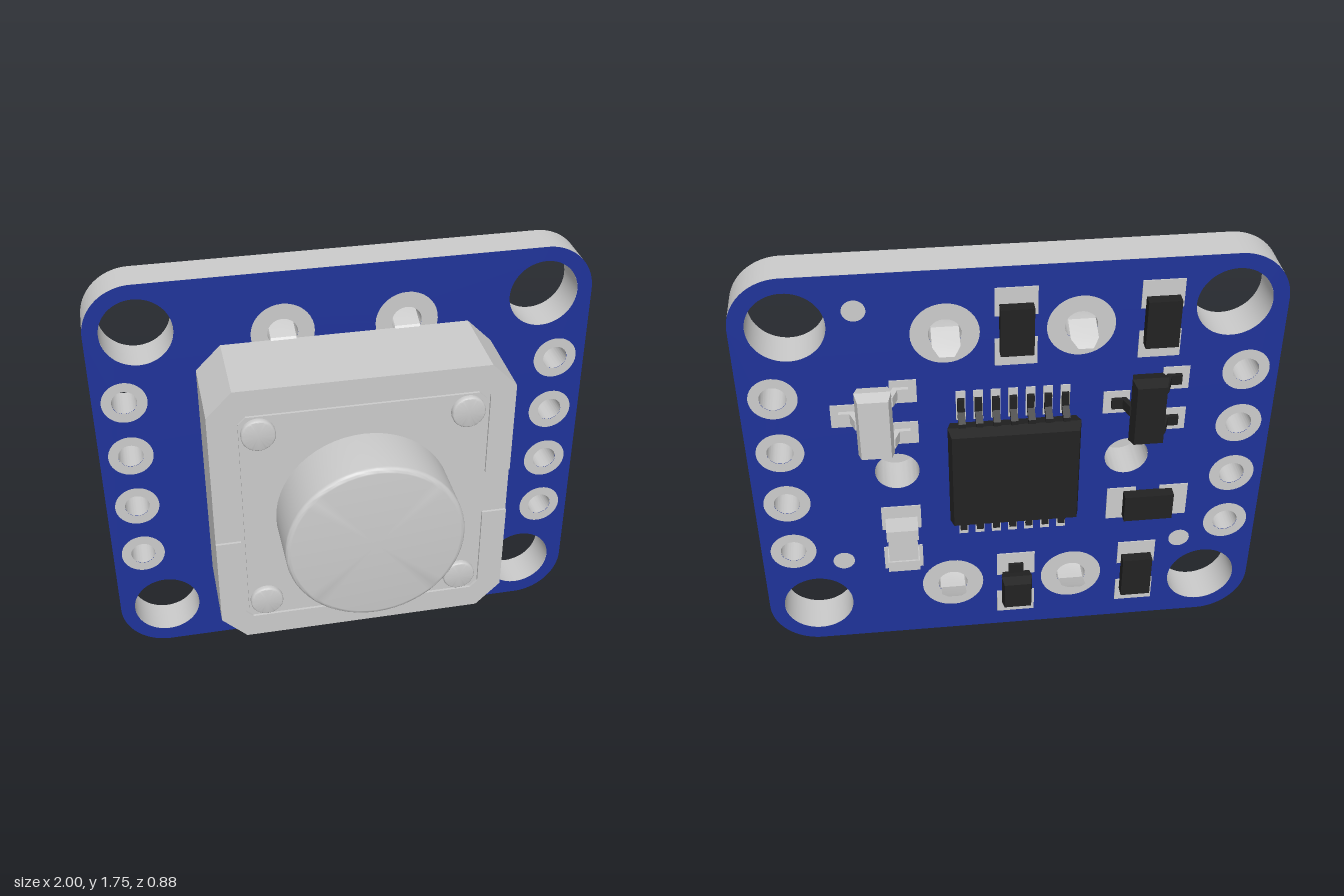
import * as THREE from 'three';
import { toCreasedNormals, mergeVertices } from 'three/addons/utils/BufferGeometryUtils.js';

const mat = (color) => new THREE.MeshStandardMaterial({ color });
const GREY = mat(0xcccccc), BLUE = mat(0x1f3399), DARK = mat(0x222222);
const SHEET = new THREE.MeshStandardMaterial({ color: 0xcccccc, side: THREE.DoubleSide });
const FRONT = -0.165, BACK = -0.32, MID = 0.875;

function add(parent, name, geometry, material, x = 0, y = 0, z = 0) {
  const mesh = new THREE.Mesh(geometry, material);
  mesh.name = name;
  mesh.position.set(x, y, z);
  parent.add(mesh);
  return mesh;
}

const polygon = (pts) => new THREE.Shape(pts.map(([x, y]) => new THREE.Vector2(x, y)));
const extrude = (shape, depth, curveSegments = 32) =>
  new THREE.ExtrudeGeometry(shape, { depth, bevelEnabled: false, curveSegments });

// square with cut corners
const octagon = (r, c) => polygon([
  [r - c, -r], [r, c - r], [r, r - c], [r - c, r], [c - r, r], [-r, r - c], [-r, c - r], [c - r, -r]]);

// turned part whose axis points to +z, with a rounded front edge
function knob(r, h, round) {
  const pts = [new THREE.Vector2(r, 0)];
  for (let i = 0; i <= 6; i++) {
    const a = (i / 6) * Math.PI / 2;
    pts.push(new THREE.Vector2(r - round + round * Math.cos(a), h - round + round * Math.sin(a)));
  }
  pts.push(new THREE.Vector2(0, h));
  return toCreasedNormals(new THREE.LatheGeometry(pts, 56).rotateX(Math.PI / 2), 0.6);
}

// moulded chip body standing on z = 0, widest at its middle
function moulded(w, h, d, taper) {
  const g = new THREE.BoxGeometry(w, h, d, 1, 1, 2);
  const p = g.attributes.position;
  for (let i = 0; i < p.count; i++) {
    if (Math.abs(p.getZ(i)) > 0.001) {
      p.setX(i, p.getX(i) - Math.sign(p.getX(i)) * taper);
      p.setY(i, p.getY(i) - Math.sign(p.getY(i)) * taper);
    }
  }
  g.translate(0, 0, d / 2);
  return toCreasedNormals(g, 0.1);
}

// gull-wing leg reaching outward along angle, from height h down to the board
function leg(length, h, width, angle) {
  const t = 0.016, a = length * 0.35, b = length * 0.55;
  const g = extrude(polygon([
    [0, h - t], [a - t, h - t], [b - t, 0], [length, 0],
    [length, t], [b, t], [a, h], [0, h]]), width);
  return g.translate(0, 0, -width / 2).rotateX(Math.PI / 2).rotateZ(angle);
}

function buildBoard(root) {
  const board = new THREE.Group();
  board.name = 'circuitBoard';
  root.add(board);
  const r = 0.2, H = 1.75;
  const s = new THREE.Shape();
  s.absarc(1 - r, r, r, -Math.PI / 2, 0);
  s.absarc(1 - r, H - r, r, 0, Math.PI / 2);
  s.absarc(r - 1, H - r, r, Math.PI / 2, Math.PI);
  s.absarc(r - 1, r, r, Math.PI, Math.PI * 1.5);
  s.closePath();
  const hole = (x, y, rad) => {
    const p = new THREE.Path();
    p.absarc(x, y, rad, 0, Math.PI * 2, true);
    s.holes.push(p);
  };
  const ring = (name, x, y, inner, outer) => {
    const g = inner ? new THREE.RingGeometry(inner, outer, 36) : new THREE.CircleGeometry(outer, 28);
    if (inner) add(board, name, g, GREY, x, y, FRONT + 0.003);
    add(board, name, g.clone().rotateY(Math.PI), GREY, x, y, BACK - 0.003);
  };
  for (const sx of [-1, 1]) {
    for (const y of [0.2, 1.55]) hole(sx * 0.8, y, 0.14);
    for (const y of [0.5, 0.75, 1, 1.25]) {
      hole(sx * 0.875, y, 0.05);
      ring('pinPad', sx * 0.875, y, 0.05, 0.09);
    }
    for (const y of [0.262, 1.49]) {
      hole(sx * 0.245, y, 0.06);
      ring('switchPad', sx * 0.245, y, 0.06, 0.125);
    }
    hole(sx * 0.444, MID, 0.085);
  }
  // round alignment marks on the back
  for (const [x, y] of [[0.56, 1.605], [0.68, 0.43], [-0.69, 0.42]]) ring('alignmentMark', x, y, 0, 0.043);
  add(board, 'boardCore', toCreasedNormals(extrude(s, FRONT - BACK), 0.5), GREY, 0, 0, BACK);
  const mask = new THREE.ShapeGeometry(s, 32);
  add(board, 'frontMask', mask, BLUE, 0, 0, FRONT + 0.0015);
  add(board, 'backMask', mask.clone().rotateY(Math.PI), BLUE, 0, 0, BACK - 0.0015);
}

function buildSwitch(root) {
  const sw = new THREE.Group();
  sw.name = 'pushSwitch';
  sw.position.y = 0.88;
  root.add(sw);
  add(sw, 'switchHousing', extrude(octagon(0.59, 0.1), 0.34), GREY, 0, 0, -0.15);
  // raised rim in two halves, leaving a notch on each side
  const half = polygon([
    [0.59, 0.1], [0.59, 0.49], [0.49, 0.59], [-0.49, 0.59], [-0.59, 0.49], [-0.59, 0.1],
    [-0.49, 0.1], [-0.49, 0.46], [-0.46, 0.49], [0.46, 0.49], [0.49, 0.46], [0.49, 0.1]]);
  for (const a of [0, Math.PI]) add(sw, 'housingRim', extrude(half, 0.01).rotateZ(a), GREY, 0, 0, 0.19);
  add(sw, 'coverPlate', extrude(octagon(0.475, 0.03), 0.01), GREY, 0, 0, 0.19);
  add(sw, 'buttonCap', knob(0.348, 0.24, 0.02), GREY, 0, 0, 0.2);
  for (const sx of [-1, 1]) for (const sy of [-1, 1]) {
    add(sw, 'rivet', knob(0.066, 0.022, 0.008), GREY, sx * 0.402, sy * 0.402, 0.2);
    // bent strip lead through the board, as rows of [y, z, half width]
    const rows = [[0.575, -0.13, 0.05], [0.598, -0.15, 0.05], [0.635, -0.25, 0.05],
      [0.64, -0.325, 0.05], [0.605, -0.4, 0.05], [0.585, -0.435, 0.027]];
    const pos = [], idx = [];
    rows.forEach(([y, z, w], i) => {
      pos.push(-w, sy * y, z, w, sy * y, z);
      if (i) { const k = i * 2; idx.push(k - 2, k - 1, k, k - 1, k + 1, k); }
    });
    const g = new THREE.BufferGeometry();
    g.setAttribute('position', new THREE.Float32BufferAttribute(pos, 3));
    g.setIndex(idx);
    add(sw, 'switchLead', toCreasedNormals(mergeVertices(g), 0.3), SHEET, sx * 0.245, 0, 0);
  }
}

function buildBackParts(root) {
  // local frame looks at the back: x is mirrored, z points away from the board
  const back = new THREE.Group();
  back.name = 'backComponents';
  back.rotation.y = Math.PI;
  back.position.z = BACK - 0.002;
  root.add(back);

  const place = (name, x, y, turn = 0) => {
    const g = new THREE.Group();
    g.name = name;
    g.position.set(x, y, 0);
    g.rotation.z = turn;
    back.add(g);
    return g;
  };
  const pad = (g, x, y, w, h) => add(g, 'solderPad', new THREE.BoxGeometry(w, h, 0.006), GREY, x, y, 0.001);
  const endPads = (g) => [-1, 1].forEach((s) => pad(g, 0, s * 0.105, 0.155, 0.115));

  // flat resistors
  for (const [x, y, turn] of [[0.01, 1.503, 0], [0.535, 1.5, 0], [0.515, 0.255, 0], [0.54, 0.635, Math.PI / 2]]) {
    const g = place('resistor', x, y, turn);
    endPads(g);
    add(g, 'resistorBody', new THREE.BoxGeometry(0.122, 0.195, 0.045), DARK, 0, 0, 0.0245);
  }

  // capacitor with end caps
  const cap = place('capacitor', -0.44, 0.535);
  endPads(cap);
  add(cap, 'capacitorBody', new THREE.BoxGeometry(0.115, 0.16, 0.076), GREY, 0, 0, 0.04);
  for (const s of [-1, 1]) add(cap, 'capacitorEnd', new THREE.BoxGeometry(0.125, 0.05, 0.084), GREY, 0, s * 0.08, 0.043);

  // diode
  const diode = place('diode', 0.015, 0.24);
  endPads(diode);
  add(diode, 'diodeBody', moulded(0.125, 0.14, 0.085, 0.008), DARK);
  for (const s of [-1, 1]) add(diode, 'diodeLead', leg(0.11, 0.05, 0.06, s * Math.PI / 2), DARK);

  // three-legged chips
  for (const [name, x, y, m] of [['transistor', 0.5, 1.14, DARK], ['regulator', -0.515, 1.155, GREY]]) {
    const g = place(name, x, y);
    const body = add(g, name + 'Body', moulded(0.135, 0.28, 0.095, 0.012), m);
    body.position.z = 0.012;
    for (const [s, ly] of [[1, 0.095], [1, -0.095], [-1, 0]]) {
      pad(g, s * 0.11, ly, 0.1, 0.1);
      add(g, name + 'Leg', leg(0.09, 0.062, 0.042, s > 0 ? 0 : Math.PI), m, s * 0.04, ly, 0.004);
    }
  }

  // main chip with seven legs on each long side
  const chip = place('mainChip', 0, 0.885);
  add(chip, 'chipBody', moulded(0.5, 0.45, 0.097, 0.012), DARK, 0, 0, 0.012);
  for (let i = -3; i <= 3; i++) for (const s of [-1, 1]) {
    pad(chip, i * 0.065, s * 0.285, 0.036, 0.13);
    add(chip, 'chipLeg', leg(0.12, 0.06, 0.027, s * Math.PI / 2), DARK, i * 0.065, s * 0.2, 0.004);
  }
}

export function createModel() {
  const root = new THREE.Group();
  root.name = 'buttonBoard';
  buildBoard(root);
  buildSwitch(root);
  buildBackParts(root);
  return root;
}
